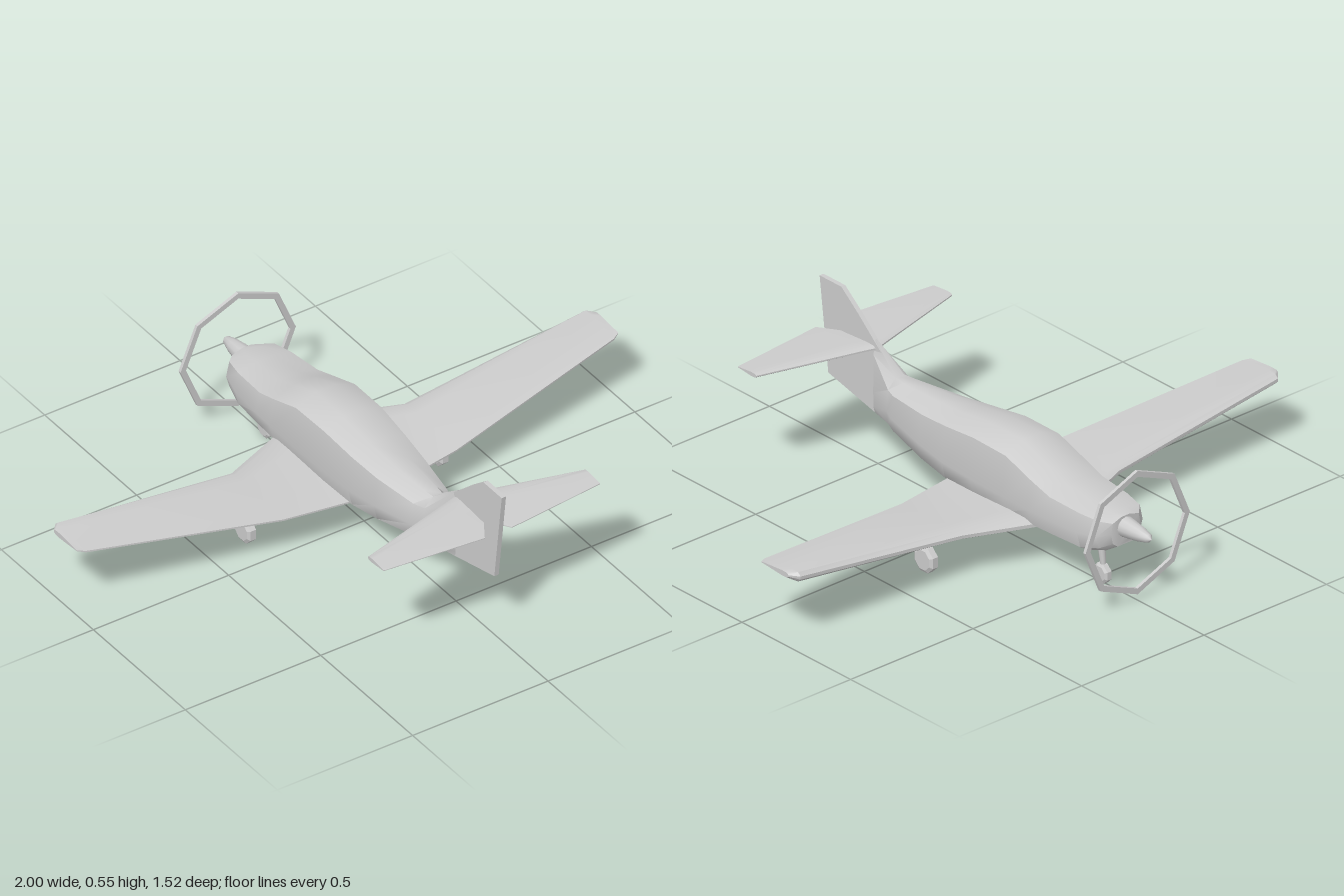
import * as THREE from 'three';
import { toCreasedNormals } from 'three/addons/utils/BufferGeometryUtils.js';

const material = new THREE.MeshStandardMaterial({ color: 0xcccccc });

function addMesh(parent, name, geometry) {
  const mesh = new THREE.Mesh(geometry, material);
  mesh.name = name;
  parent.add(mesh);
  return mesh;
}

// Skin a row of closed cross-sections, cap both ends and turn all faces outward.
function loft(sections, crease = 0.6) {
  const n = sections[0].length;
  const points = sections.flat();
  const index = [];
  for (let s = 0; s < sections.length - 1; s++) {
    for (let i = 0; i < n; i++) {
      const a = s * n + i, b = s * n + (i + 1) % n;
      index.push(a, b, a + n, b, b + n, a + n);
    }
  }
  const last = (sections.length - 1) * n;
  for (let i = 1; i < n - 1; i++) {
    index.push(0, i + 1, i, last, last + i, last + i + 1);
  }
  let volume = 0;
  const [a, b, c] = [0, 1, 2].map(() => new THREE.Vector3());
  for (let i = 0; i < index.length; i += 3) {
    a.fromArray(points[index[i]]);
    b.fromArray(points[index[i + 1]]);
    c.fromArray(points[index[i + 2]]);
    volume += a.dot(b.cross(c));
  }
  if (volume < 0) index.reverse();
  const geometry = new THREE.BufferGeometry();
  geometry.setAttribute('position', new THREE.Float32BufferAttribute(points.flat(), 3));
  geometry.setIndex(index);
  return toCreasedNormals(geometry, crease);
}

// Fuselage cross-section: flat belly, widest at mid height, soft shoulders.
function hullSection([z, bottom, mid, shoulder, top, w]) {
  const half = [[0.55 * w, bottom], [0.88 * w, bottom + (mid - bottom) * 0.3], [w, mid],
    [0.88 * w, shoulder], [0.3 * w, top]];
  return [...half.map(([x, y]) => [x, y, z]),
    ...half.reverse().map(([x, y]) => [-x, y, z])];
}

// Aerofoil cross-section at span x, from leading to trailing edge.
function foilSection(side, [x, lead, trail, y, t]) {
  const profile = [[0, 0.15], [0.07, 0.45], [0.25, 0.5], [1, 0.08],
    [1, -0.08], [0.25, -0.5], [0.07, -0.45], [0, -0.15]];
  return profile.map(([u, v]) => [side * x, y + v * t, lead + (trail - lead) * u]);
}

// Strut between two points.
function strut(from, to, r1, r2) {
  const a = new THREE.Vector3(...from), b = new THREE.Vector3(...to);
  const dir = b.clone().sub(a);
  const geometry = new THREE.CylinderGeometry(r2, r1, dir.length(), 8);
  geometry.applyQuaternion(new THREE.Quaternion().setFromUnitVectors(
    new THREE.Vector3(0, 1, 0), dir.clone().normalize()));
  const mid = a.add(b).multiplyScalar(0.5);
  return geometry.translate(mid.x, mid.y, mid.z);
}

// Eight-sided wheel with bevelled rims, axle along x.
function wheel(r, width) {
  const h = width / 2;
  const profile = [[0, -h], [r * 0.75, -h], [r, -h * 0.6], [r, h * 0.6], [r * 0.75, h], [0, h]]
    .map(([x, y]) => new THREE.Vector2(x, y));
  const geometry = new THREE.LatheGeometry(profile, 8, Math.PI / 8);
  return toCreasedNormals(geometry.rotateZ(Math.PI / 2), 0.3);
}

export function createModel() {
  const plane = new THREE.Group();
  plane.name = 'airplane';

  // Fuselage: z, bottom, mid, shoulder, top, half width
  const hull = [
    [-0.64, 0.18, 0.23, 0.265, 0.277, 0.06],
    [-0.61, 0.162, 0.22, 0.272, 0.284, 0.095],
    [-0.54, 0.138, 0.215, 0.277, 0.291, 0.111],
    [-0.41, 0.138, 0.215, 0.285, 0.305, 0.121],
    [-0.33, 0.137, 0.215, 0.31, 0.337, 0.124],
    [-0.21, 0.134, 0.215, 0.35, 0.38, 0.124],
    [-0.06, 0.131, 0.215, 0.352, 0.379, 0.122],
    [0.08, 0.131, 0.215, 0.335, 0.36, 0.113],
    [0.2, 0.147, 0.225, 0.323, 0.352, 0.1],
    [0.36, 0.175, 0.24, 0.315, 0.347, 0.072],
    [0.4, 0.18, 0.245, 0.315, 0.347, 0.055],
    [0.51, 0.181, 0.25, 0.38, 0.43, 0.011],
  ];
  addMesh(plane, 'fuselage', loft(hull.map(hullSection), 0.75));

  // Vertical fin and rudder
  const finShape = new THREE.Shape([[0.4, 0.335], [0.5, 0.42], [0.585, 0.495], [0.66, 0.555],
    [0.76, 0.555], [0.72, 0.235], [0.5, 0.181], [0.42, 0.2]]
    .map(([z, y]) => new THREE.Vector2(z, y)));
  const fin = new THREE.ExtrudeGeometry(finShape, { depth: 0.016, bevelEnabled: false });
  addMesh(plane, 'fin', fin.translate(0, 0, -0.008).rotateY(-Math.PI / 2));

  // Wings, tailplane and main gear, mirrored
  const wing = [
    [0, -0.375, 0.085, 0.157, 0.04],
    [0.12, -0.33, 0.065, 0.157, 0.038],
    [0.32, -0.25, 0.033, 0.159, 0.036],
    [0.975, -0.242, -0.076, 0.244, 0.036],
    [1, -0.215, -0.09, 0.249, 0.018],
  ];
  const tail = [
    [0, 0.5, 0.65, 0.402, 0.018],
    [0.05, 0.515, 0.73, 0.402, 0.018],
    [0.4, 0.61, 0.695, 0.402, 0.014],
  ];
  for (const [label, side] of [['left', 1], ['right', -1]]) {
    addMesh(plane, label + 'Wing', loft(wing.map((s) => foilSection(side, s))));
    addMesh(plane, label + 'Tailplane', loft(tail.map((s) => foilSection(side, s))));
    addMesh(plane, label + 'GearStrut',
      strut([side * 0.352, 0.08, -0.12], [side * 0.295, 0.155, -0.12], 0.011, 0.016));
    addMesh(plane, label + 'Wheel', wheel(0.046, 0.034)).position.set(side * 0.355, 0.0475, -0.122);
  }

  // Nose gear
  addMesh(plane, 'noseStrut', strut([0, 0.05, -0.538], [0, 0.15, -0.525], 0.008, 0.014));
  addMesh(plane, 'noseWheel', wheel(0.035, 0.028)).position.set(0, 0.037, -0.533);

  // Spinner
  const spinnerProfile = [[0.034, 0], [0.03, 0.03], [0.024, 0.07], [0.014, 0.108], [0, 0.122]]
    .map(([r, z]) => new THREE.Vector2(r, z));
  const spinner = new THREE.LatheGeometry(spinnerProfile, 12).rotateX(-Math.PI / 2);
  addMesh(plane, 'spinner', spinner).position.set(0, 0.238, -0.638);

  // Octagonal ring marking the propeller sweep
  const ringShape = new THREE.Shape();
  const ringHole = new THREE.Path();
  for (const [path, r] of [[ringShape, 0.213], [ringHole, 0.193]]) {
    path.setFromPoints(Array.from({ length: 8 }, (_, i) => new THREE.Vector2(
      r * Math.cos(i * Math.PI / 4), r * Math.sin(i * Math.PI / 4))));
  }
  ringShape.holes.push(ringHole);
  const ring = new THREE.ExtrudeGeometry(ringShape, { depth: 0.011, bevelEnabled: false });
  addMesh(plane, 'propellerRing', ring).position.set(0, 0.238, -0.695);

  return plane;
}
